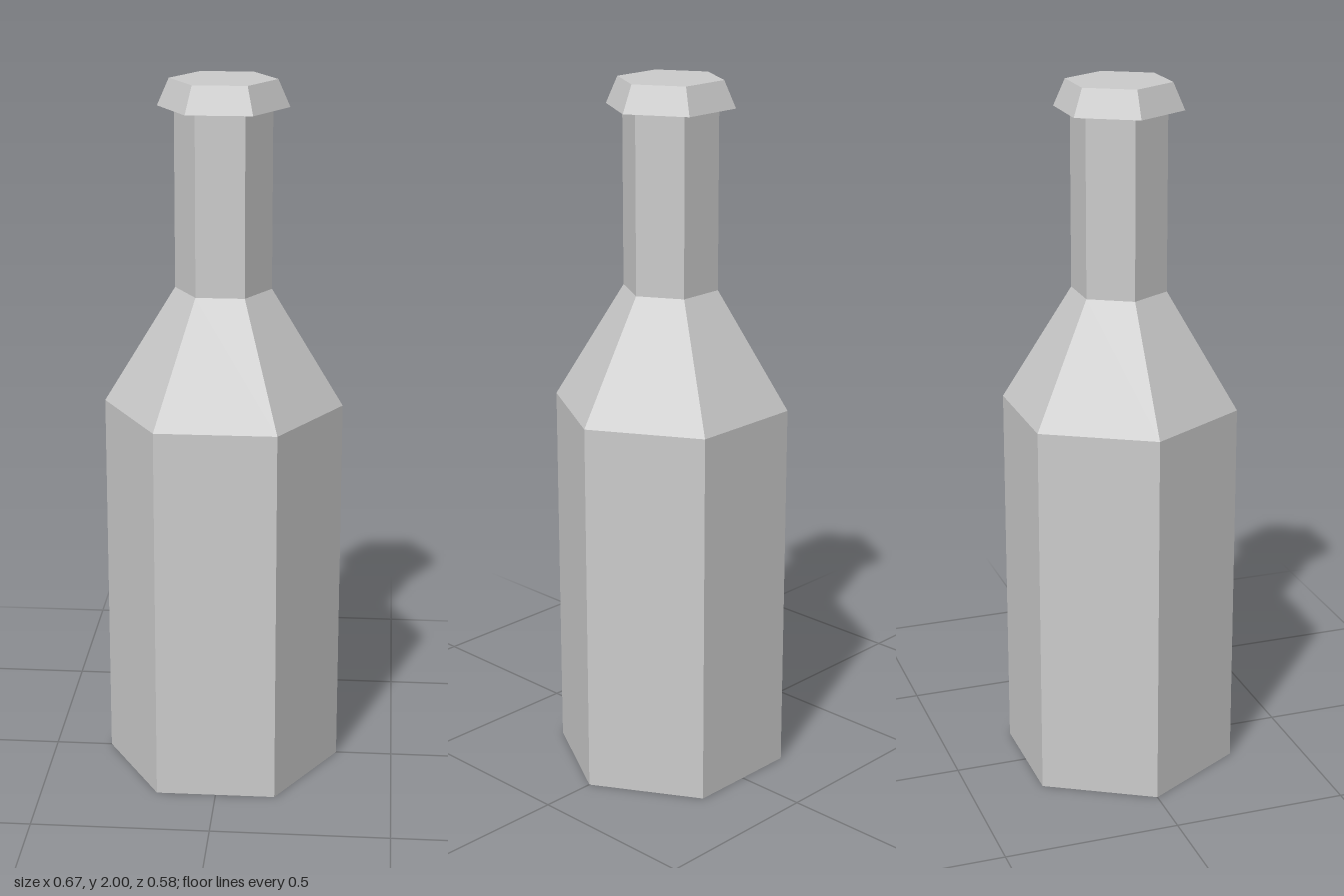
import * as THREE from 'three';

const SIDES = 6;

export function createModel() {
  const bottle = new THREE.Group();
  bottle.name = 'bottle';
  const material = new THREE.MeshStandardMaterial({ color: 0xcccccc, flatShading: true });

  // Turned six-sided part from [radius, height] pairs, with corners on the x axis
  function addTurned(name, profile) {
    const points = profile.map(([r, y]) => new THREE.Vector2(r, y));
    const geometry = new THREE.LatheGeometry(points, SIDES, Math.PI / 2);
    const mesh = new THREE.Mesh(geometry, material);
    mesh.name = name;
    bottle.add(mesh);
  }

  // Body with closed base, sloping shoulder and straight neck
  addTurned('body', [[0, 0], [0.337, 0], [0.337, 1.085]]);
  addTurned('shoulder', [[0.337, 1.085], [0.135, 1.42]]);
  addTurned('neck', [[0.135, 1.42], [0.135, 1.925]]);

  // Tapered cap, wider than the neck
  addTurned('cap', [[0, 1.925], [0.181, 1.925], [0.148, 2], [0, 2]]);

  return bottle;
}
